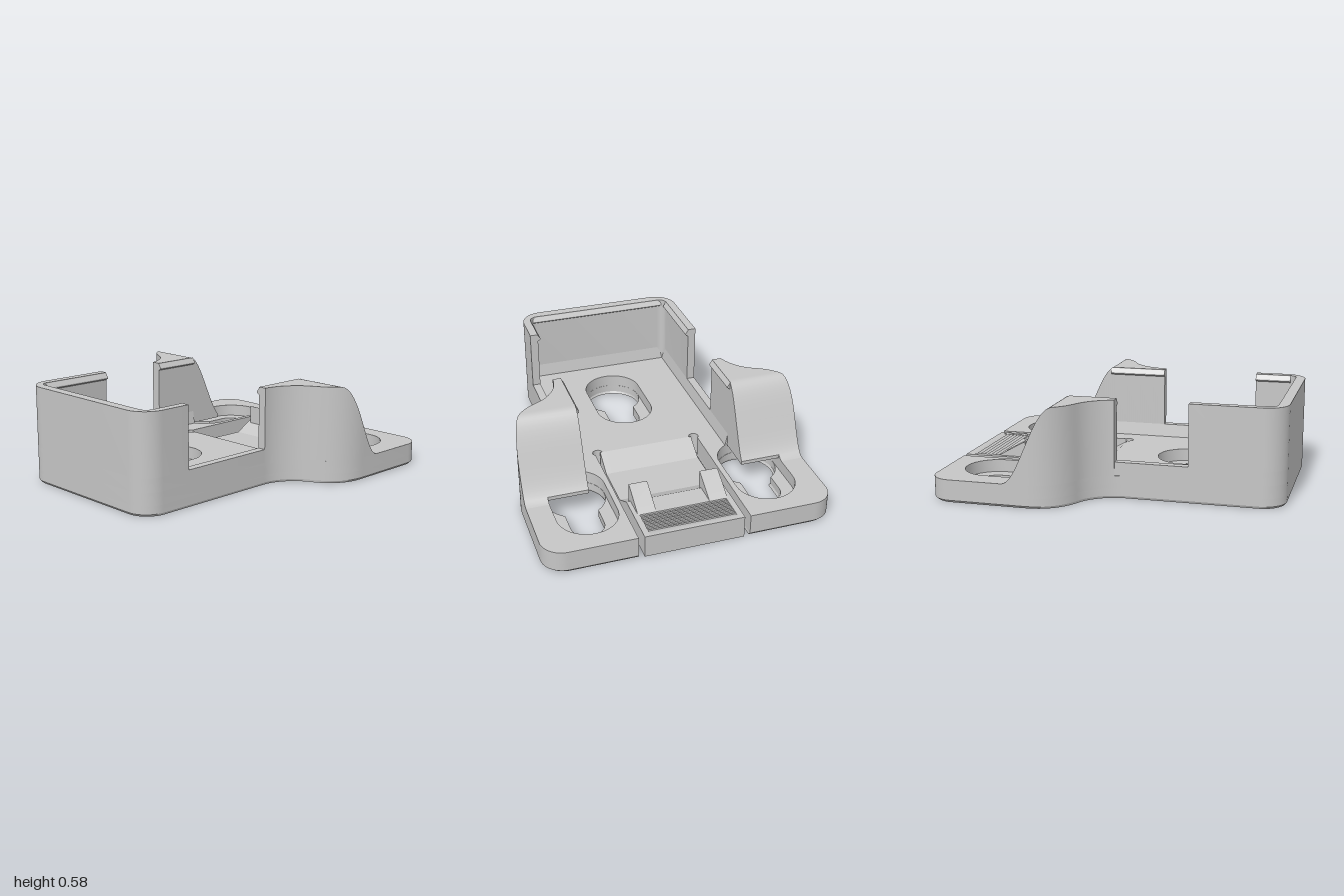
import * as THREE from 'three';
import { toCreasedNormals } from 'three/addons/utils/BufferGeometryUtils.js';

const FLOOR = 0.135, POCKET = 0.06, SILL = 0.215, TOP = 0.58, INNER = 0.475, OUTER = 0.525;
const V = (x, z) => new THREE.Vector2(x, -z); // plan point

// points of an arc in plan, degrees measured from +x towards +z
function arc(cx, cz, r, a0, a1, n = 14) {
  return Array.from({ length: n + 1 }, (_, i) => {
    const a = THREE.MathUtils.degToRad(a0 + (a1 - a0) * i / n);
    return V(cx + r * Math.cos(a), cz + r * Math.sin(a));
  });
}
const mirrored = pts => pts.map(p => new THREE.Vector2(-p.x, p.y)).reverse();

// flared side curve from the ears to the cradle
const flare = [
  new THREE.CubicBezierCurve(V(0.855, -0.42), V(0.855, -0.28), V(0.77, -0.2), V(0.68, -0.16)),
  new THREE.CubicBezierCurve(V(0.68, -0.16), V(0.59, -0.12), V(OUTER, -0.02), V(OUTER, 0.08)),
].flatMap((c, i) => c.getPoints(14).slice(i));

function outerX(z) {
  if (z <= -0.42) return 0.855;
  for (let i = 1; i < flare.length; i++) {
    const a = flare[i - 1], b = flare[i];
    if (z <= -b.y + 1e-9) return a.x + (b.x - a.x) * (z + a.y) / (a.y - b.y);
  }
  return OUTER;
}
const shoulderY = z => FLOOR + (TOP - FLOOR) * THREE.MathUtils.smoothstep(z, -0.55, -0.26);

// clockwise plan outline raised from y0 to y1; reversed so that the hole walls face inwards
function slab(pts, holes, y0, y1) {
  const shape = new THREE.Shape([...pts].reverse());
  shape.holes = holes.map(h => new THREE.Path(THREE.ShapeUtils.isClockWise(h) ? h : [...h].reverse()));
  return new THREE.ExtrudeGeometry(shape, { depth: y1 - y0, bevelEnabled: false })
    .rotateX(-Math.PI / 2).translate(0, y0, 0);
}
// (z, y) profile swept along x
function prismX(pts, x0, x1) {
  const shape = new THREE.Shape(pts.map(([z, y]) => new THREE.Vector2(-z, y)));
  return new THREE.ExtrudeGeometry(shape, { depth: x1 - x0, bevelEnabled: false })
    .rotateY(Math.PI / 2).translate(x0, 0, 0);
}
// (x, y) profile swept along z
function prismZ(pts, z0, z1, side) {
  const shape = new THREE.Shape(pts.map(([x, y]) => new THREE.Vector2(x * side, y)));
  return new THREE.ExtrudeGeometry(shape, { depth: z1 - z0, bevelEnabled: false }).translate(0, 0, z0);
}

const keyhole = (cx, cz) => [...arc(cx, cz, 0.098, 180, 360), ...arc(cx, cz + 0.27, 0.177, -56.4, 236.4, 32)];
const pocket = (cx, cz) => [...arc(cx, cz, 0.178, 180, 360, 20), ...arc(cx, cz + 0.27, 0.178, 0, 180, 20)];

// U-shaped wall whose arms start at zLeft (+x) and zRight (-x)
function cradleWall(zLeft, zRight, y0, y1) {
  return slab([
    V(OUTER, zLeft), ...arc(0.39, 0.865, 0.135, 0, 90), ...arc(-0.39, 0.865, 0.135, 90, 180), V(-OUTER, zRight),
    V(-INNER, zRight), ...arc(-INNER + 0.05, 0.89, 0.05, 180, 90, 8), ...arc(INNER - 0.05, 0.89, 0.05, 90, 0, 8), V(INNER, zLeft),
  ], [], y0, y1);
}

// shoulder lofted from cross-sections along z
function shoulder(side, zEnd) {
  const stations = [-0.55, -0.53, -0.51].map(z => [z, 0.718]);
  for (let i = 0; i <= 40; i++) stations.push([-0.51 + (zEnd + 0.51) * i / 40, INNER]);
  const rings = stations.map(([z, inner]) => {
    const o = outerX(z), h = shoulderY(z);
    return [[inner, FLOOR, z], [o, FLOOR, z], [o, h, z], [inner, h, z]];
  });
  const out = [];
  const tri = (...p) => (side > 0 ? p : p.reverse()).forEach(([x, y, z]) => out.push(x * side, y, z));
  for (let i = 1; i < rings.length; i++) {
    const a = rings[i - 1], b = rings[i];
    for (let j = 0; j < 4; j++) {
      const k = (j + 1) % 4;
      tri(a[j], a[k], b[j]);
      tri(a[k], b[k], b[j]);
    }
  }
  const e = rings[rings.length - 1];
  tri(e[0], e[1], e[2]);
  tri(e[0], e[2], e[3]);
  const g = new THREE.BufferGeometry();
  g.setAttribute('position', new THREE.Float32BufferAttribute(out, 3));
  return g;
}

// spring tongue profile, with optional finger ridges
function tongueProfile(ridged) {
  const pts = [[-0.12, 0], [-0.12, FLOOR], [-0.25, POCKET], [-0.53, POCKET], [-0.66, FLOOR]];
  if (ridged) {
    for (let i = 0; i < 7; i++) {
      const z = -0.8 - i * 0.024;
      pts.push([z, FLOOR], [z - 0.002, FLOOR - 0.008], [z - 0.022, FLOOR - 0.002]);
    }
    pts.push([-0.97, FLOOR]);
  }
  return [...pts, [-1, FLOOR], [-1, 0]];
}

export function createModel() {
  const model = new THREE.Group();
  const grey = new THREE.MeshStandardMaterial({ color: 0xc6c6c6 });
  grey.name = 'grey plastic';
  const add = (name, geometry) => {
    const mesh = new THREE.Mesh(toCreasedNormals(geometry, 0.5), grey);
    mesh.name = name;
    model.add(mesh);
  };

  // base plate in layers: chamfered foot, keyhole layer, wider pocket layer
  const half = [
    ...arc(0.312, -0.12, 0.03, 180, -53), V(0.33, -1),
    ...arc(0.725, -0.87, 0.13, -90, 0), ...flare, ...arc(0.39, 0.865, 0.135, 0, 90),
  ];
  const outline = [...half, ...mirrored(half)];
  const spots = [[0, 0.335], [0.54, -0.708], [-0.54, -0.708]];
  const keyholes = spots.map(s => keyhole(...s));
  const foot = slab(outline, keyholes, 0, 0.014);
  const p = foot.attributes.position;
  for (let i = 0; i < p.count; i++) {
    const x = p.getX(i), z = p.getZ(i);
    const slotRoot = Math.abs(x) < 0.35 && z > -0.2 && z < 0;
    if (p.getY(i) < 0.007 && !slotRoot) p.setXYZ(i, x * 0.986, 0, z * 0.989);
  }
  add('baseFoot', foot);
  add('basePlate', slab(outline, keyholes, 0.014, POCKET));
  add('basePocketLayer', slab(outline, spots.map(s => pocket(...s)), POCKET, FLOOR));

  // cradle walls, with a side opening of different length on each side
  add('lowerWall', cradleWall(0.08, 0.02, FLOOR, SILL));
  add('frontWall', cradleWall(0.68, 0.45, SILL, TOP));

  // shoulders, retaining lips and sloped skirting
  for (const [side, openStart, openEnd] of [[1, 0.08, 0.68], [-1, 0.02, 0.45]]) {
    add('shoulder', shoulder(side, openStart));
    const lip = [[INNER + 0.002, 0.578], [0.458, 0.55], [0.458, 0.543], [INNER + 0.002, 0.532]];
    add('shoulderLip', prismZ(lip, -0.28, openStart, side));
    add('wallLip', prismZ(lip, openEnd, 0.9, side));
    add('skirting', prismZ([[INNER, FLOOR], [INNER, SILL], [0.46, FLOOR]], -0.28, 0.93, side));
  }
  add('frontLip', prismX([[0.942, 0.578], [0.925, 0.55], [0.925, 0.543], [0.942, 0.532]], -0.45, 0.45));
  add('frontSkirting', prismX([[0.94, FLOOR], [0.94, SILL], [0.925, FLOOR]], -0.46, 0.46));

  // spring tongue with ridged pad and two catches
  add('tonguePad', prismX(tongueProfile(true), -0.26, 0.26));
  add('tongueEdge', prismX(tongueProfile(false), 0.26, 0.295));
  add('tongueEdge', prismX(tongueProfile(false), -0.295, -0.26));
  const hook = [[-0.622, 0.1], [-0.622, 0.228], [-0.642, 0.222], [-0.795, FLOOR], [-0.795, 0.1]];
  add('catch', prismX(hook, 0.16, 0.27));
  add('catch', prismX(hook, -0.27, -0.16));

  return model;
}
